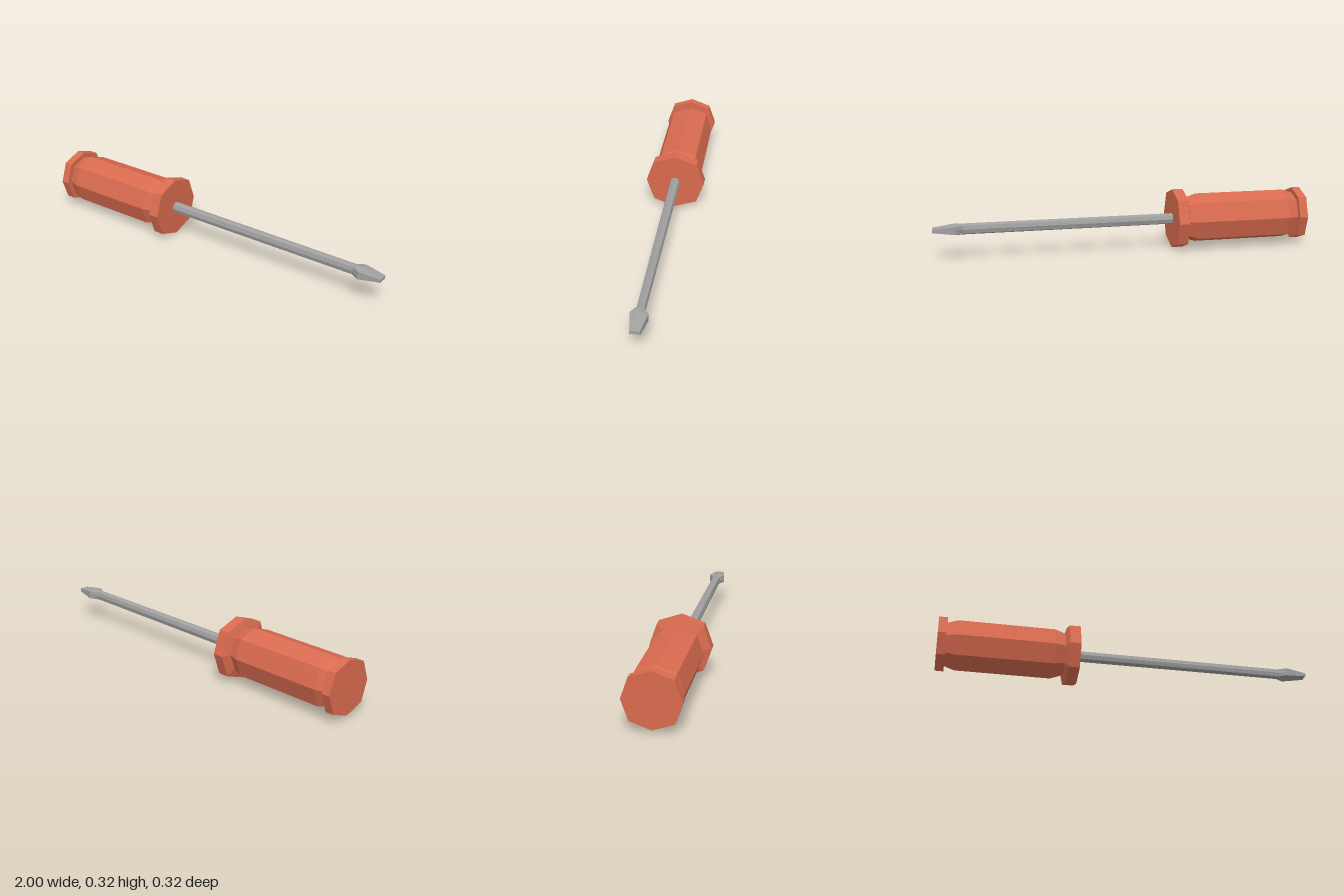
import * as THREE from 'three';

const AXIS_Y = 0.16;

// Eight-sided ring at x: ay/az reach along the axes, dy/dz place the corners between them
function ring([x, ay, az, dy, dz]) {
  return [[ay, 0], [dy, dz], [0, az], [-dy, dz], [-ay, 0], [-dy, -dz], [0, -az], [dy, -dz]]
    .map(([y, z]) => [x, y, z]);
}

// Faceted, capped loft through the rings, running along +x
function loft(name, sections, material) {
  const rings = sections.map(ring);
  const pos = [];
  const tri = (a, b, c) => pos.push(...a, ...b, ...c);
  const first = rings[0], last = rings[rings.length - 1];
  for (let k = 0; k < 8; k++) {
    const n = (k + 1) % 8;
    for (let i = 0; i < rings.length - 1; i++) {
      const p = rings[i], q = rings[i + 1];
      tri(p[k], p[n], q[n]);
      tri(p[k], q[n], q[k]);
    }
    tri([first[0][0], 0, 0], first[n], first[k]);
    tri([last[0][0], 0, 0], last[k], last[n]);
  }
  const geometry = new THREE.BufferGeometry();
  geometry.setAttribute('position', new THREE.Float32BufferAttribute(pos, 3));
  geometry.computeVertexNormals();
  const mesh = new THREE.Mesh(geometry, material);
  mesh.name = name;
  mesh.position.y = AXIS_Y;
  return mesh;
}

// Nearly regular octagon with slightly full corners
const octagon = (x, r) => [x, r, r, r * 0.74, r * 0.74];

export function createModel() {
  const orange = new THREE.MeshStandardMaterial({ color: 0xd96b4f });
  orange.name = 'orange plastic';
  const steel = new THREE.MeshStandardMaterial({ color: 0xa0a0a0 });
  steel.name = 'grey steel';

  const model = new THREE.Group();
  model.name = 'screwdriver';

  // Handle: end cap, grip with tapered necks, and front collar
  model.add(loft('handle', [
    octagon(-1, 0.142), octagon(-0.955, 0.142),
    octagon(-0.955, 0.114), octagon(-0.9, 0.132),
    octagon(-0.4, 0.132), octagon(-0.345, 0.112),
    octagon(-0.33, 0.16), octagon(-0.272, 0.16),
  ], orange));

  // Shaft narrows slightly, then flares into the flat blade
  model.add(loft('shaft', [
    [-0.275, 0.029, 0.028, 0.021, 0.021],
    [0.845, 0.029, 0.023, 0.021, 0.018],
  ], steel));
  model.add(loft('blade', [
    [0.845, 0.029, 0.023, 0.021, 0.018],
    [0.885, 0.028, 0.044, 0.021, 0.044],
    [1, 0.009, 0.025, 0.009, 0.025],
  ], steel));

  return model;
}
